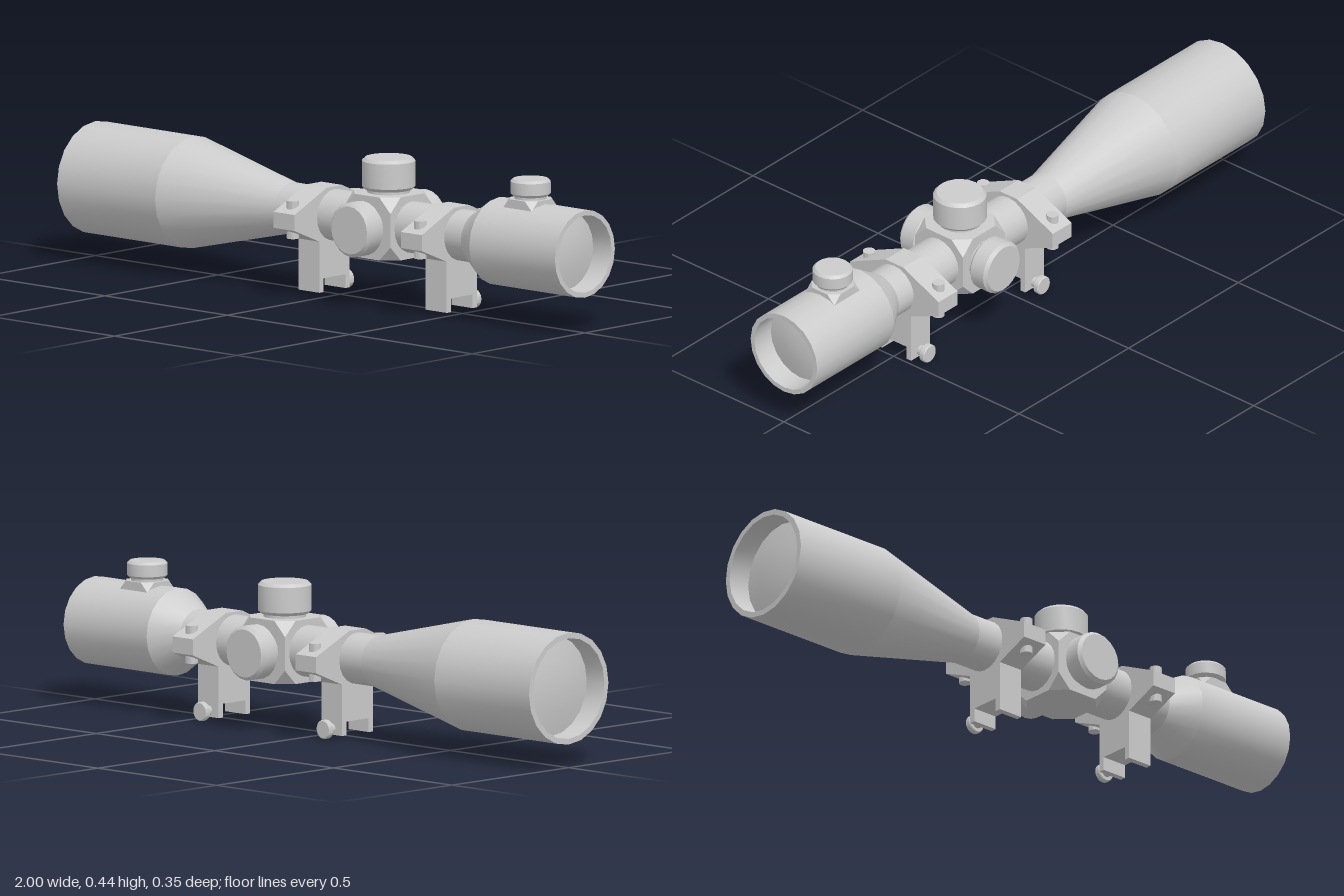
import * as THREE from 'three';
import { toCreasedNormals } from 'three/addons/utils/BufferGeometryUtils.js';
import { ConvexGeometry } from 'three/addons/geometries/ConvexGeometry.js';

const AXIS_Y = 0.24;
const SIDES = 20;
const material = new THREE.MeshStandardMaterial({ color: 0xcccccc });

function addMesh(parent, name, geometry) {
  const mesh = new THREE.Mesh(geometry, material);
  mesh.name = name;
  parent.add(mesh);
  return mesh;
}

// Turned part: [radius, height] pairs, listed from bottom to top
function turned(profile) {
  const points = profile.map(([r, h]) => new THREE.Vector2(r, h));
  return toCreasedNormals(new THREE.LatheGeometry(points, SIDES), 0.36);
}

// Cube with its eight corners cut off
function cutCornerCube(half, cut) {
  const points = [];
  const s = half - cut;
  for (const a of [-1, 1]) for (const b of [-1, 1]) for (const c of [-1, 1]) {
    points.push(
      new THREE.Vector3(a * s, b * half, c * half),
      new THREE.Vector3(a * half, b * s, c * half),
      new THREE.Vector3(a * half, b * half, c * s));
  }
  return new ConvexGeometry(points);
}

// Chamfered adjustment knob on a narrower neck, standing on y = 0
function knobGeometry(radius, neck, height, chamfer) {
  return turned([
    [radius * 0.8, -0.02], [radius * 0.8, neck], [radius - chamfer, neck],
    [radius, neck + chamfer], [radius, height - chamfer],
    [radius - chamfer, height], [0, height],
  ]);
}

// Clamp ring with side ears, a rail foot and its screws
function makeMount(x) {
  const mount = new THREE.Group();
  mount.name = 'mountRing';
  mount.position.x = x;

  const half = [
    [0.035, 0.326], [0.177, 0.261], [0.177, 0.212], [0.067, 0.166],
    [0.067, 0.01], [0.048, 0.01], [0.048, 0.052],
  ];
  const outline = [...half, ...half.map(([z, y]) => [-z, y]).reverse()];
  const shape = new THREE.Shape(outline.map(([z, y]) => new THREE.Vector2(z, y)));
  const width = 0.086;
  const body = new THREE.ExtrudeGeometry(shape, { depth: width, bevelEnabled: false });
  body.translate(0, 0, -width / 2);
  body.rotateY(-Math.PI / 2);
  addMesh(mount, 'clampBody', body);

  for (const side of [-1, 1]) {
    const bolt = addMesh(mount, 'clampBolt',
      toCreasedNormals(new THREE.CylinderGeometry(0.019, 0.019, 0.115, 12), 0.6));
    bolt.position.set(0, 0.238, side * 0.138);
  }

  // Thumb screw on the back of the foot
  const screw = addMesh(mount, 'railScrew', turned([
    [0.016, -0.01], [0.016, 0.018], [0.026, 0.018], [0.029, 0.021],
    [0.029, 0.035], [0.026, 0.038], [0, 0.038],
  ]));
  screw.rotation.x = -Math.PI / 2;
  screw.position.set(0, 0.029, -0.067);
  return mount;
}

export function createModel() {
  const model = new THREE.Group();
  model.name = 'riflescope';

  // Optical tube, turned along y and laid along x
  const tube = new THREE.Group();
  tube.name = 'opticalTube';
  tube.rotation.z = -Math.PI / 2;
  tube.position.y = AXIS_Y;
  model.add(tube);
  addMesh(tube, 'objectiveLens', turned([[0, -0.945], [0.08, -0.94], [0.153, -0.925]]));
  addMesh(tube, 'objectiveBell', turned([[0.153, -0.92], [0.153, -1], [0.17, -1], [0.17, -0.6]]));
  addMesh(tube, 'objectiveTaper', turned([[0.17, -0.6], [0.078, -0.2]]));
  addMesh(tube, 'mainTube', turned([[0.078, -0.2], [0.078, 0.57]]));
  addMesh(tube, 'eyepiece', turned([
    [0.078, 0.565], [0.133, 0.65], [0.133, 1], [0.118, 1], [0.118, 0.92],
  ]));
  addMesh(tube, 'eyepieceLens', turned([[0.118, 0.925], [0.06, 0.937], [0, 0.941]]));

  // Turret housing with a top knob and two side knobs
  const turret = new THREE.Group();
  turret.name = 'turret';
  turret.position.set(0.198, AXIS_Y, 0);
  model.add(turret);
  addMesh(turret, 'turretHousing', cutCornerCube(0.096, 0.045));
  addMesh(turret, 'elevationKnob', knobGeometry(0.081, 0.009, 0.106, 0.01)).position.y = 0.096;
  for (const side of [-1, 1]) {
    const knob = addMesh(turret, 'sideKnob', knobGeometry(0.083, 0.009, 0.079, 0.01));
    knob.rotation.x = side * Math.PI / 2;
    knob.position.z = side * 0.096;
  }

  // Small knob on the eyepiece
  const control = new THREE.Group();
  control.name = 'eyepieceControl';
  control.position.set(0.778, 0.327, 0);
  model.add(control);
  addMesh(control, 'controlBase', cutCornerCube(0.058, 0.028));
  addMesh(control, 'controlKnob', knobGeometry(0.061, 0.008, 0.06, 0.008)).position.y = 0.058;

  // Two mounting rings
  for (const x of [-0.066, 0.454]) model.add(makeMount(x));

  return model;
}
